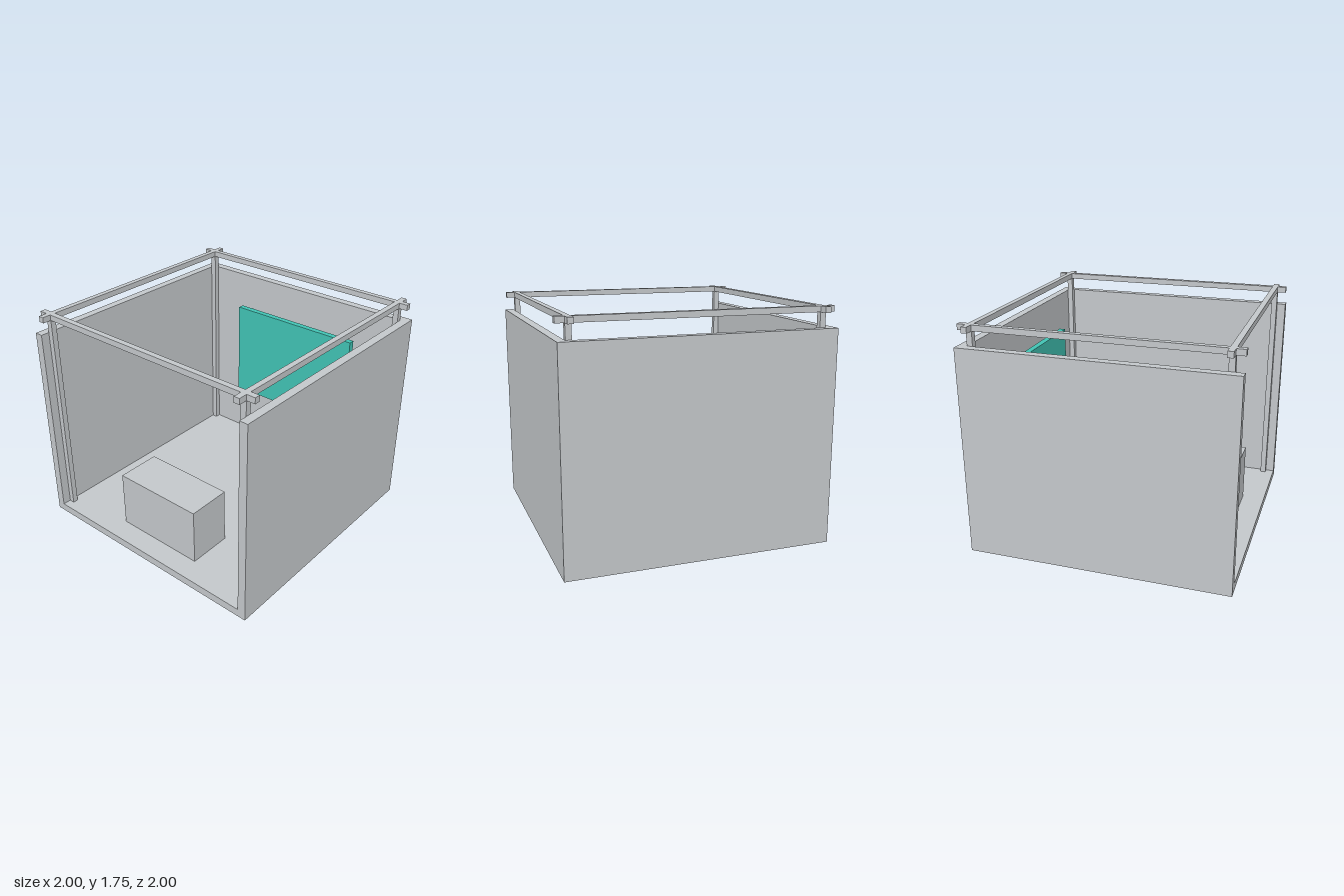
import * as THREE from 'three';

export function createModel() {
  const model = new THREE.Group();
  model.name = 'exhibitionBooth';

  const grey = new THREE.MeshStandardMaterial({ color: 0xc3c7ca });
  grey.name = 'light grey';
  const teal = new THREE.MeshStandardMaterial({ color: 0x41c2b3 });
  teal.name = 'teal';

  // Box given by its lower and upper corners
  function box(name, [x0, y0, z0], [x1, y1, z1], material = grey) {
    const mesh = new THREE.Mesh(new THREE.BoxGeometry(x1 - x0, y1 - y0, z1 - z0), material);
    mesh.position.set((x0 + x1) / 2, (y0 + y1) / 2, (z0 + z1) / 2);
    mesh.name = name;
    model.add(mesh);
  }

  const floorTop = 0.0625, wallTop = 1.6, inner = 0.935;
  const beamBottom = 1.708, beamTop = 1.752;
  const post = 0.912, half = 0.0215; // post centre line and half thickness

  // Floor and the three walls, open at the front
  box('floor', [-1, 0, -1], [1, floorTop, 1]);
  box('backWall', [-inner, floorTop, -1], [inner, wallTop, -inner]);
  box('rightWall', [-1, floorTop, -1], [-inner, wallTop, 1]);
  box('leftWall', [inner, floorTop, -1], [1, wallTop, 1]);

  // Corner posts and the crossing beams of the top frame
  for (const s of [-1, 1]) {
    const c = s * post;
    for (const t of [-1, 1]) {
      const z = t * post;
      box('cornerPost', [c - half, floorTop, z - half], [c + half, beamBottom, z + half]);
    }
    box('sideBeam', [c - half, beamBottom, -1], [c + half, beamTop, 1]);
    box('crossBeam', [-1, beamBottom, c - half], [1, beamTop, c + half]);
  }

  // Counter near the open front
  box('counter', [-0.373, floorTop, 0.475], [0.373, 0.512, 0.825]);

  // Display panel hung in front of the back wall
  box('displayPanel', [-0.571, 0.53, -0.89], [0.571, 1.33, -0.84], teal);

  return model;
}
